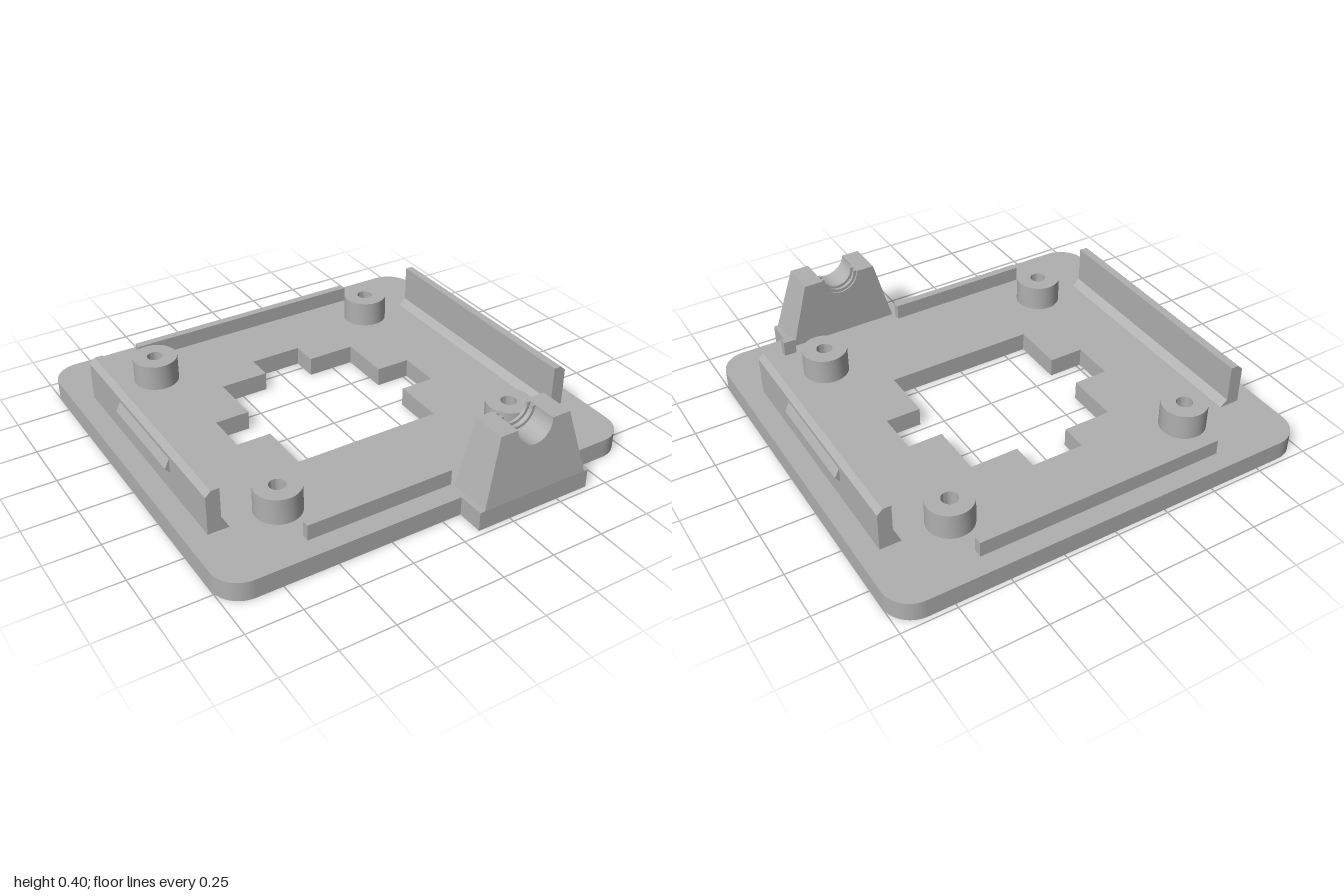
import * as THREE from 'three';
import { toCreasedNormals } from 'three/addons/utils/BufferGeometryUtils.js';

const BASE = 0.09; // top of the base plate

export function createModel() {
  const model = new THREE.Group();
  model.name = 'mountingPlate';
  const grey = new THREE.MeshStandardMaterial({ name: 'plastic grey', color: 0xb0b0b0 });

  const polygon = (pts) => new THREE.Shape(pts.map(([x, y]) => new THREE.Vector2(x, y)));
  const add = (name, geometry) => {
    const mesh = new THREE.Mesh(toCreasedNormals(geometry, 0.5), grey);
    mesh.name = name;
    model.add(mesh);
    return mesh;
  };
  const extrude = (shape, depth) =>
    new THREE.ExtrudeGeometry(shape, { depth, bevelEnabled: false, curveSegments: 16 });
  // Plan shapes use (x, -z) and rise upward; section shapes use (x, y) and run along z.
  const rise = (shape, y, h) => extrude(shape, h).rotateX(-Math.PI / 2).translate(0, y, 0);
  const run = (shape, z0, z1) => extrude(shape, z1 - z0).translate(0, 0, z0);
  const box = (name, x0, x1, y0, y1, z0, z1) =>
    add(name, new THREE.BoxGeometry(x1 - x0, y1 - y0, z1 - z0)
      .translate((x0 + x1) / 2, (y0 + y1) / 2, (z0 + z1) / 2));

  // Base plate: rounded corners, front tab and stepped central opening
  const r = 0.13, back = 0.98, front = -0.85;
  const plate = new THREE.Shape();
  plate.moveTo(-1 + r, front);
  plate.lineTo(0.09, front);
  plate.lineTo(0.09, -0.975);
  plate.lineTo(0.66, -0.975);
  plate.lineTo(0.66, front);
  plate.lineTo(1 - r, front);
  plate.absarc(1 - r, front + r, r, -Math.PI / 2, 0, false);
  plate.absarc(1 - r, back - r, r, 0, Math.PI / 2, false);
  plate.absarc(-1 + r, back - r, r, Math.PI / 2, Math.PI, false);
  plate.absarc(-1 + r, front + r, r, Math.PI, Math.PI * 1.5, false);
  plate.holes.push(polygon([
    [-0.355, -0.285], [-0.355, -0.035], [-0.52, -0.035], [-0.52, 0.168],
    [-0.355, 0.168], [-0.355, 0.422], [-0.125, 0.422], [-0.125, 0.548],
    [0.125, 0.548], [0.125, 0.422], [0.355, 0.422], [0.355, 0.168],
    [0.52, 0.168], [0.52, -0.035], [0.355, -0.035], [0.355, -0.285],
  ]));
  add('basePlate', rise(plate, 0, BASE));

  // Four screw bosses with blind holes
  for (const x of [-0.588, 0.588]) {
    for (const z of [-0.655, 0.52]) {
      const ring = new THREE.Shape().absarc(0, 0, 0.105, 0, Math.PI * 2, false);
      ring.holes.push(new THREE.Path().absarc(0, 0, 0.037, 0, Math.PI * 2, true));
      add('screwBoss', rise(ring, BASE, 0.122)).position.set(x, 0, z);
    }
  }

  // Low locating ribs
  box('backRib', -0.588, 0.588, BASE, 0.163, -0.89, -0.852);
  box('frontRib', -0.588, 0.105, BASE, 0.163, 0.72, 0.756);
  box('frontRibStub', 0.652, 0.71, BASE, 0.163, 0.72, 0.756);

  // Side clip walls with a foot fillet, chamfered top and snap ridge
  for (const s of [1, -1]) {
    const side = s > 0 ? 'left' : 'right';
    const section = (pts) => polygon(pts.map(([x, y]) => [s * x, y]));
    add(side + 'ClipWall', run(section([
      [0.808, BASE], [0.905, BASE], [0.905, 0.27], [0.88, 0.295], [0.842, 0.295], [0.842, 0.12],
    ]), -0.655, 0.52));
    add(side + 'SnapRidge', run(section([
      [0.9, 0.186], [0.905, 0.186], [0.926, 0.21], [0.905, 0.252], [0.9, 0.252],
    ]), -0.315, 0.188));
  }

  // Cable post: tapered block with a half-round channel and a leaning front
  const cx = 0.375, top = 0.4, channel = 0.09;
  const postShape = new THREE.Shape();
  postShape.moveTo(0.113, BASE);
  postShape.lineTo(0.64, BASE);
  postShape.lineTo(0.555, top);
  postShape.lineTo(cx + channel, top);
  postShape.absarc(cx, top, channel, 0, -Math.PI, true);
  postShape.lineTo(0.2, top);
  const post = run(postShape, 0.77, 0.975);
  const p = post.attributes.position;
  for (let i = 0; i < p.count; i++) {
    if (p.getZ(i) > 0.9) p.setZ(i, 0.975 - 0.04 * (p.getY(i) - BASE) / (top - BASE));
  }
  post.computeVertexNormals();
  add('cablePost', post);

  // Grip rings inside the channel
  for (const z of [0.785, 0.818]) {
    const grip = new THREE.Shape();
    grip.absarc(cx, top, channel + 0.003, 0, -Math.PI, true);
    grip.absarc(cx, top, 0.076, -Math.PI, 0, false);
    add('gripRing', run(grip, z - 0.007, z + 0.007));
  }

  return model;
}
